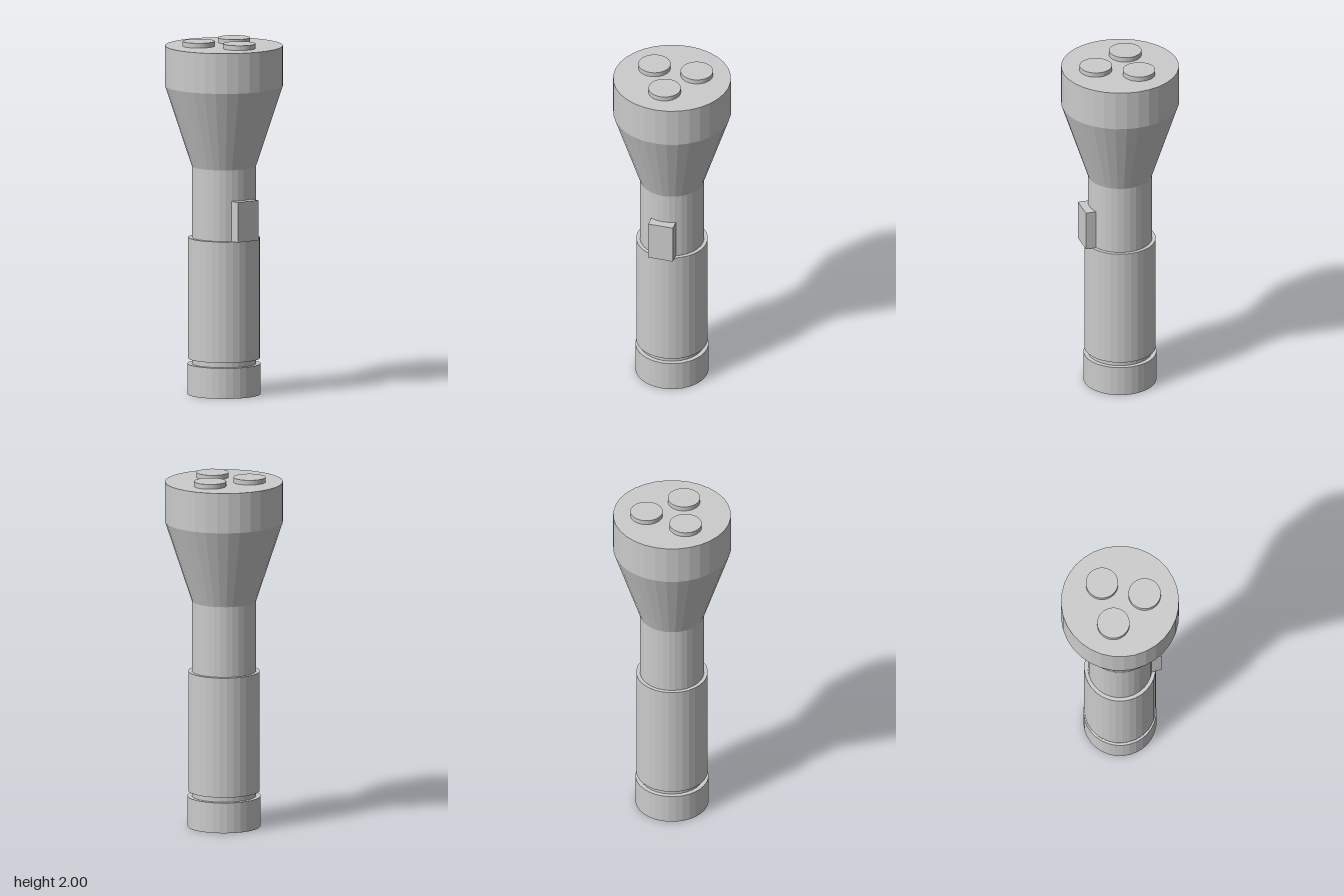
import * as THREE from 'three';

const SIDES = 32;

export function createModel() {
  const torch = new THREE.Group();
  torch.name = 'flashlight';
  const material = new THREE.MeshStandardMaterial({ color: 0xcccccc, flatShading: true });

  const add = (name, geometry, x = 0, y = 0, z = 0) => {
    const mesh = new THREE.Mesh(geometry, material);
    mesh.name = name;
    mesh.position.set(x, y, z);
    torch.add(mesh);
    return mesh;
  };

  // Round section between two heights
  const section = (name, radius, y0, y1, x = 0, z = 0) =>
    add(name, new THREE.CylinderGeometry(radius, radius, y1 - y0, SIDES), x, (y0 + y1) / 2, z);

  // Handle, from the tail cap up to the neck
  section('tailCap', 0.205, 0, 0.173);
  section('tailGroove', 0.18, 0.173, 0.203);
  section('grip', 0.201, 0.203, 0.888);
  section('neck', 0.18, 0.888, 1.29);

  // Flared head with a straight rim and a flat front face
  const profile = [[0, 1.29], [0.18, 1.29], [0.331, 1.745], [0.331, 1.973], [0, 1.973]];
  add('head', new THREE.LatheGeometry(profile.map(([r, y]) => new THREE.Vector2(r, y)), SIDES));

  // Three round lamps on the face
  for (let i = 0; i < 3; i++) {
    const a = (i * 2 * Math.PI) / 3;
    section('lamp' + (i + 1), 0.091, 1.973, 2, 0.143 * Math.cos(a), 0.143 * Math.sin(a));
  }

  // Switch on the side of the neck
  add('switch', new THREE.BoxGeometry(0.065, 0.227, 0.144), 0.1925, 1.0015, 0);

  return torch;
}
